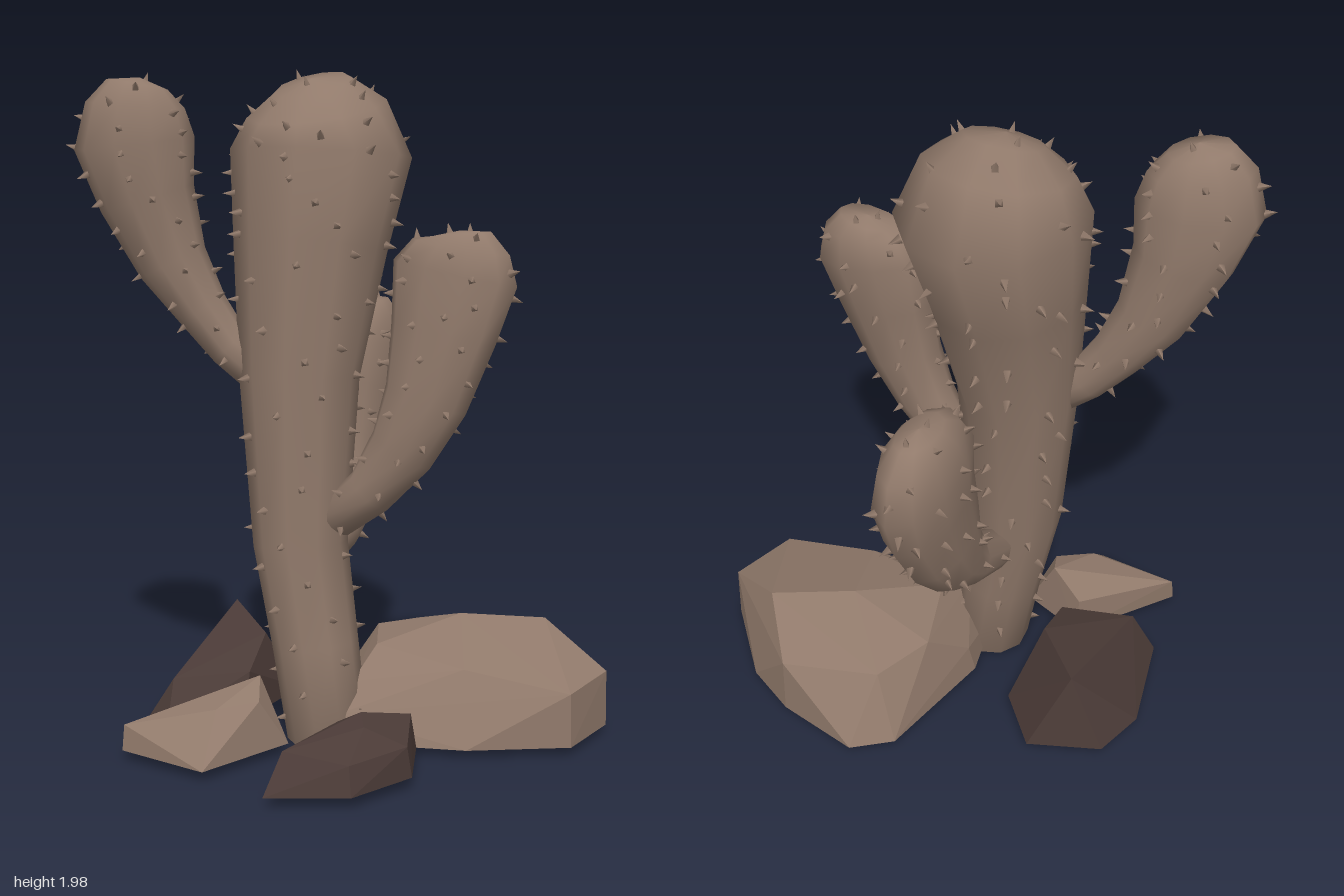
import * as THREE from 'three';
import { mergeGeometries } from 'three/addons/utils/BufferGeometryUtils.js';
import { ConvexGeometry } from 'three/addons/geometries/ConvexGeometry.js';

const SIDES = 10;

// Cross-section frames along a limb; each ring is [x, y, z, radius in the bend plane, radius across it]
function limbFrames(rings, side) {
  const v = new THREE.Vector3(...side).normalize();
  const centre = (i) => new THREE.Vector3(...rings[i].slice(0, 3));
  return rings.map((r, i) => {
    const a = centre(Math.max(i - 1, 0));
    const b = centre(Math.min(i + 1, rings.length - 1));
    const t = b.sub(a).normalize();
    const u = v.clone().cross(t).normalize();
    const w = t.clone().cross(u);
    return (angle) => centre(i)
      .addScaledVector(u, r[3] * Math.cos(angle))
      .addScaledVector(w, r[4] * Math.sin(angle));
  });
}

// Smooth skin over the rings
function limbGeometry(frames) {
  const pos = [], index = [];
  frames.forEach((at, i) => {
    for (let j = 0; j < SIDES; j++) {
      pos.push(...at((j / SIDES) * Math.PI * 2).toArray());
      if (i === frames.length - 1) continue;
      const a = i * SIDES + j, b = i * SIDES + (j + 1) % SIDES;
      index.push(a, b, b + SIDES, a, b + SIDES, a + SIDES);
    }
  });
  const g = new THREE.BufferGeometry();
  g.setAttribute('position', new THREE.Float32BufferAttribute(pos, 3));
  g.setIndex(index);
  g.computeVertexNormals();
  return g;
}

// Thorns spread evenly by area, pointing out of the skin
function thornGeometry(frames, rings, random, density) {
  const cones = [], up = new THREE.Vector3(0, 1, 0);
  let turn = 0, carry = 0;
  for (let i = 1; i < rings.length - 1; i++) {
    const p = rings[i], q = rings[i + 1];
    const length = Math.hypot(q[0] - p[0], q[1] - p[1], q[2] - p[2], (q[3] - p[3] + q[4] - p[4]) / 2);
    const wanted = length * Math.PI * (p[3] + p[4] + q[3] + q[4]) / 2 * density + carry;
    const count = Math.floor(wanted);
    carry = wanted - count;
    for (let k = 0; k < count; k++) {
      turn += 2.4 + (random() - 0.5) * 0.5;
      const s = (k + 0.3 + random() * 0.4) / count;
      const skin = (f, a) => frames[i](a).lerp(frames[i + 1](a), f);
      const at = skin(s, turn);
      const around = skin(Math.min(s, 0.9), turn + 0.05).sub(skin(Math.min(s, 0.9), turn - 0.05));
      const along = skin(1, turn).sub(skin(0, turn));
      const normal = around.cross(along).normalize();
      const cone = new THREE.ConeGeometry(0.014, 0.038, 4).translate(0, 0.01, 0);
      cone.applyQuaternion(new THREE.Quaternion().setFromUnitVectors(up, normal));
      cones.push(cone.translate(at.x, at.y, at.z));
    }
  }
  return mergeGeometries(cones);
}

const limbs = {
  trunk: { side: [0, 0, 1], rings: [
    [-0.01, 0.02, 0.095, 0, 0], [0.025, 0.02, 0.095, 0.122, 0.122], [-0.02, 0.3, 0.095, 0.128, 0.13],
    [-0.08, 0.6, 0.085, 0.142, 0.14], [-0.1, 1.1, 0.06, 0.183, 0.17], [-0.1, 1.48, 0, 0.23, 0.225],
    [-0.1, 1.75, -0.06, 0.27, 0.27], [-0.1, 1.88, -0.035, 0.205, 0.215],
    [-0.1, 1.95, -0.015, 0.11, 0.12], [-0.1, 1.967, -0.005, 0, 0]] },
  rightArm: { side: [0.6, 0, 0.8], rings: [
    [-0.2, 1.1, 0.1, 0, 0], [-0.21, 1.11, 0.11, 0.065, 0.058], [-0.29, 1.18, 0.14, 0.066, 0.06],
    [-0.37, 1.29, 0.17, 0.078, 0.072], [-0.45, 1.43, 0.21, 0.106, 0.088], [-0.51, 1.62, 0.25, 0.143, 0.108],
    [-0.535, 1.78, 0.275, 0.177, 0.125], [-0.53, 1.89, 0.275, 0.145, 0.105],
    [-0.525, 1.95, 0.27, 0.09, 0.07], [-0.52, 1.97, 0.265, 0, 0]] },
  leftArm: { side: [0.2, 0, 0.98], rings: [
    [0.03, 0.68, 0.08, 0, 0], [0.04, 0.69, 0.08, 0.063, 0.058], [0.15, 0.78, 0.065, 0.075, 0.064],
    [0.245, 0.91, 0.045, 0.1, 0.076], [0.312, 1.06, 0.025, 0.126, 0.086], [0.35, 1.25, -0.005, 0.158, 0.096],
    [0.372, 1.42, -0.03, 0.187, 0.108], [0.39, 1.495, -0.033, 0.145, 0.086],
    [0.388, 1.53, -0.033, 0.09, 0.055], [0.385, 1.54, -0.035, 0, 0]] },
  backArm: { side: [0.98, 0, -0.2], rings: [
    [-0.1, 0.53, -0.01, 0, 0], [-0.1, 0.54, -0.04, 0.068, 0.058], [-0.11, 0.59, -0.17, 0.08, 0.068],
    [-0.13, 0.69, -0.27, 0.12, 0.085], [-0.15, 0.83, -0.345, 0.163, 0.096], [-0.16, 0.99, -0.405, 0.193, 0.104],
    [-0.17, 1.13, -0.437, 0.212, 0.113], [-0.175, 1.23, -0.455, 0.17, 0.09],
    [-0.175, 1.28, -0.455, 0.1, 0.055], [-0.175, 1.293, -0.455, 0, 0]] },
};

// Corner points of each faceted rock
const rocks = {
  largeRock: { dark: false, points: [
    [0.25, 0.34, -0.31], [0.46, 0.32, -0.47], [0.1, 0.28, -0.06], [-0.03, 0.27, -0.28], [0.01, 0.25, -0.47],
    [0.28, 0.23, -0.61], [0.705, 0.21, -0.395], [0.7, 0.2, -0.16], [0.4, 0.25, -0.06],
    [0.1, 0.2, 0.08], [0.1, 0.12, 0.15], [-0.06, 0.14, -0.12],
    [0.705, 0.04, -0.4], [0.705, 0.04, -0.16], [0.46, 0.04, 0.03], [0.12, 0.04, 0.17],
    [0.05, 0.04, 0.15], [-0.07, 0.04, -0.1], [-0.08, 0.04, -0.5], [0.01, 0.04, -0.61], [0.28, 0.04, -0.615],
    [0.46, 0.04, -0.57]] },
  sideRock: { dark: true, points: [
    [-0.49, 0.31, -0.15], [-0.27, 0.27, 0.0], [-0.21, 0.2, 0.17], [-0.4, 0.18, 0.3],
    [-0.41, 0.06, -0.26], [-0.6, 0.06, -0.13], [-0.61, 0.06, 0.04], [-0.47, 0.06, 0.33],
    [-0.37, 0.06, 0.37], [-0.2, 0.06, 0.21], [-0.24, 0.06, -0.14]] },
  frontRock: { dark: false, points: [
    [-0.1, 0.235, 0.27], [-0.04, 0.19, 0.36], [-0.22, 0.17, 0.25], [-0.12, 0.18, 0.46], [-0.37, 0.12, 0.57],
    [-0.37, 0.045, 0.58], [-0.07, 0.045, 0.595], [0, 0.045, 0.27], [-0.22, 0.045, 0.24]] },
  cornerRock: { dark: true, points: [
    [0.27, 0.2, 0.3], [0.33, 0.19, 0.38], [0.18, 0.15, 0.28], [0.35, 0.17, 0.16], [0.44, 0.14, 0.33],
    [0.37, 0.13, 0.52], [0.2, 0.16, 0.59], [0.15, 0.05, 0.24], [0.34, 0.05, 0.11], [0.45, 0.05, 0.32],
    [0.39, 0.05, 0.54], [0.19, 0.05, 0.67]] },
};

export function createModel() {
  const brown = new THREE.MeshStandardMaterial({ color: 0x917a6b });
  brown.name = 'warm brown';
  const darkBrown = new THREE.MeshStandardMaterial({ color: 0x4b3b37 });
  darkBrown.name = 'dark brown';

  let seed = 7;
  const random = () => (seed = (seed * 16807) % 2147483647) / 2147483647;

  const model = new THREE.Group();
  model.name = 'cactusWithRocks';
  const add = (name, geometry, material) => {
    const mesh = new THREE.Mesh(geometry, material);
    mesh.name = name;
    model.add(mesh);
  };

  // Cactus trunk and arms with their thorns
  for (const [name, { side, rings }] of Object.entries(limbs)) {
    const frames = limbFrames(rings, side);
    add(name, limbGeometry(frames), brown);
    add(name + 'Thorns', thornGeometry(frames, rings, random, name === 'trunk' ? 48 : 80), brown);
  }

  // Rocks around the foot
  for (const [name, { dark, points }] of Object.entries(rocks)) {
    add(name, new ConvexGeometry(points.map((p) => new THREE.Vector3(...p))), dark ? darkBrown : brown);
  }
  return model;
}
